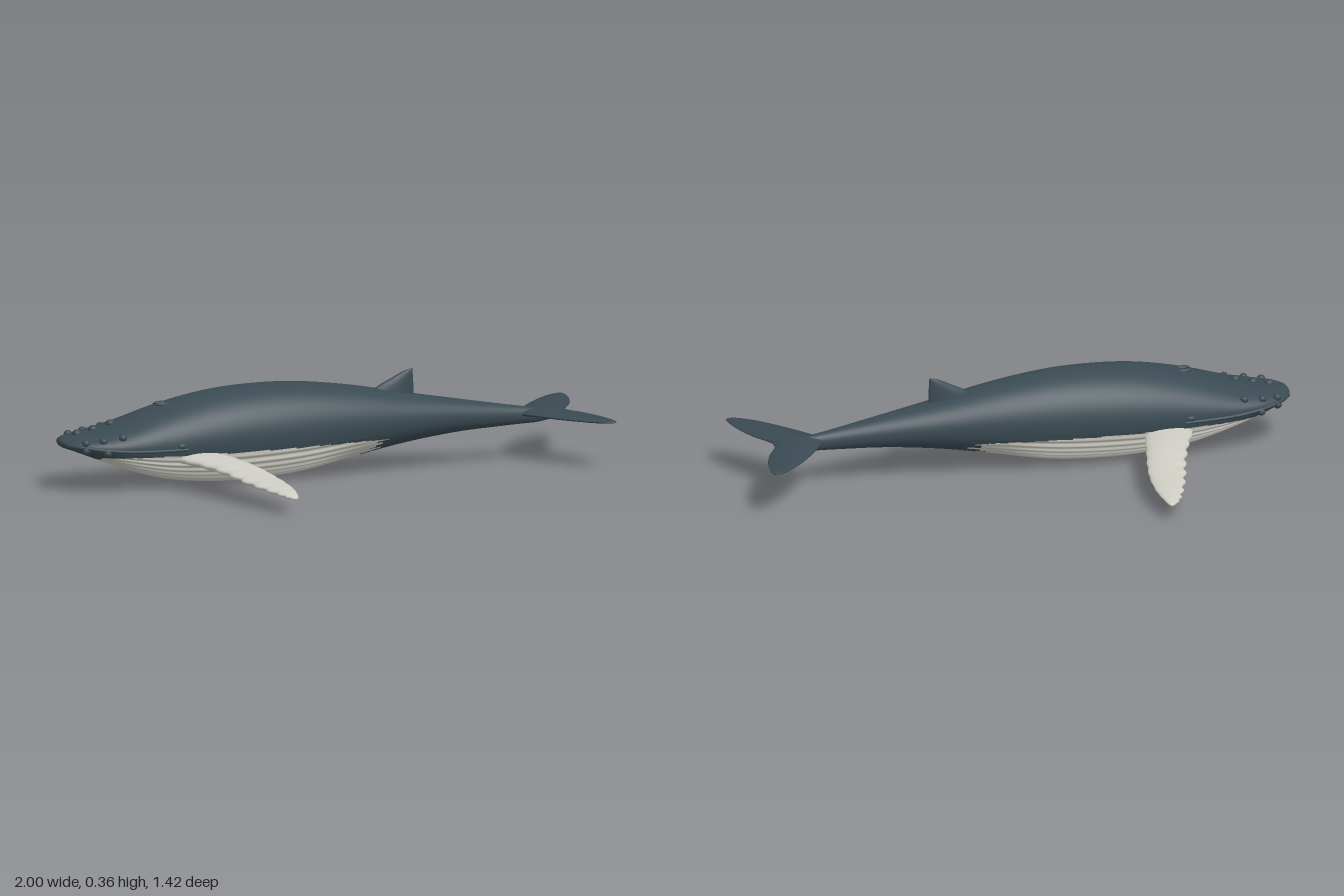
import * as THREE from 'three';

const slate = new THREE.MeshStandardMaterial({ color: 0x3a4a52 });
slate.name = 'slate skin';
const pale = new THREE.MeshStandardMaterial({ color: 0xcdccc3 });
pale.name = 'pale skin';

// Smooth curve through triples of numbers
const spline = (rows) =>
  new THREE.CatmullRomCurve3(rows.map((r) => new THREE.Vector3(...r)), false, 'catmullrom');

// Closed skin through rings point(u, angle); pick(x, y, z) chooses the material of each face
function loft(point, rows, cols, pick = () => 0) {
  const pos = [], faces = [[], []];
  for (let i = 0; i <= rows; i++)
    for (let j = 0; j < cols; j++) pos.push(...point(i / rows, (j / cols) * Math.PI * 2));
  for (let i = 0; i < rows; i++)
    for (let j = 0; j < cols; j++) {
      const k = (j + 1) % cols;
      const a = i * cols + j, b = i * cols + k, c = a + cols, d = b + cols;
      const mid = [0, 1, 2].map((n) => (pos[a * 3 + n] + pos[d * 3 + n]) / 2);
      faces[pick(...mid)].push(a, b, c, b, d, c);
    }
  const geo = new THREE.BufferGeometry();
  geo.setAttribute('position', new THREE.Float32BufferAttribute(pos, 3));
  geo.setIndex(faces[0].concat(faces[1]));
  geo.addGroup(0, faces[0].length, 0);
  geo.addGroup(faces[0].length, faces[1].length, 1);
  geo.computeVertexNormals();
  return geo;
}

// Body stations: x, top, bottom, half width
const stations = [
  [-1, 0.176, 0.174, 0], [-0.99, 0.19, 0.16, 0.05], [-0.95, 0.2, 0.145, 0.098],
  [-0.88, 0.214, 0.117, 0.132], [-0.78, 0.24, 0.078, 0.152], [-0.62, 0.291, 0.03, 0.165],
  [-0.45, 0.328, 0.009, 0.169], [-0.28, 0.343, 0.007, 0.164], [-0.1, 0.34, 0.022, 0.151],
  [0.1, 0.315, 0.06, 0.127], [0.3, 0.277, 0.098, 0.095], [0.5, 0.241, 0.123, 0.061],
  [0.7, 0.206, 0.134, 0.03], [0.82, 0.188, 0.141, 0.018], [0.91, 0.177, 0.17, 0.002],
];
const outline = spline(stations.map((s) => [s[0], s[1], s[2]]));
const girth = spline(stations.map((s) => [s[0], s[3], 0]));
const { smoothstep } = THREE.MathUtils;

function bodyPoint(u, a) {
  const o = outline.getPoint(u), w = Math.max(girth.getPoint(u).y, 0);
  // throat grooves fade out towards the flanks, chin and tail
  const fade = smoothstep(-Math.cos(a), 0.22, 0.45)
    * smoothstep(o.x, -0.95, -0.7) * (1 - smoothstep(o.x, -0.1, 0.2));
  const r = 1 + 0.022 * fade * Math.cos(36 * a);
  return [o.x, (o.y + o.z) / 2 + ((o.y - o.z) / 2) * r * Math.cos(a), w * r * Math.sin(a)];
}

// Pale belly with a streaked rear edge
function bellyPick(x, y, z) {
  const rear = 0.1 + 1.1 * Math.abs(z) + 0.03 * Math.sin(z * 230);
  return y < 0.13 && x > -0.87 && x < Math.min(rear, 0.2 + 0.03 * Math.sin(y * 300)) ? 1 : 0;
}

// Point on the body at a given x
function onBody(x, a) {
  let lo = 0, hi = 1;
  for (let n = 0; n < 30; n++) {
    const m = (lo + hi) / 2;
    if (outline.getPoint(m).x < x) lo = m; else hi = m;
  }
  return new THREE.Vector3(...bodyPoint(lo, a));
}

// Sideways blade: plan rows z, leading x, trailing x; shape rows y, half thickness, -
function blade(plan, shape, side, ripple, rows) {
  const p = spline(plan), q = spline(shape);
  return loft((u, a) => {
    const e = p.getPoint(u), t = q.getPoint(u);
    const wave = ripple * Math.sin(u * 75) * Math.sin(Math.PI * u);
    const lead = e.y + wave, trail = e.z + wave * 0.4 * (1 - u);
    const half = Math.max((trail - lead) / 2, 0);
    return [(lead + trail) / 2 - side * half * Math.sin(a), t.x + t.y * Math.cos(a), side * e.x];
  }, rows, 28);
}

export function createModel() {
  const whale = new THREE.Group();
  whale.name = 'whale';
  const add = (name, geo, mat) => {
    const mesh = new THREE.Mesh(geo, mat);
    mesh.name = name;
    whale.add(mesh);
    return mesh;
  };
  const knob = (name, p, sx, sy, sz) => {
    const m = add(name, new THREE.SphereGeometry(1, 14, 10), slate);
    m.position.copy(p);
    m.scale.set(sx, sy, sz);
  };

  add('body', loft(bodyPoint, 120, 216, bellyPick), [slate, pale]);

  // Dorsal fin: rows y, front x, rear x
  const fin = spline([[0.24, 0.13, 0.335], [0.295, 0.185, 0.335], [0.33, 0.25, 0.333],
    [0.352, 0.295, 0.332], [0.362, 0.329, 0.331]]);
  add('dorsalFin', loft((u, a) => {
    const f = fin.getPoint(u);
    return [(f.y + f.z) / 2 - ((f.z - f.y) / 2) * Math.cos(a), f.x,
      (0.022 * (1 - u) + 0.002) * Math.sin(a)];
  }, 20, 24), slate);

  for (const side of [1, -1]) {
    const tag = side > 0 ? 'left' : 'right';

    // Long flipper with a knobbly leading edge
    add(tag + 'Flipper', blade(
      [[0.1, -0.625, -0.44], [0.18, -0.59, -0.415], [0.29, -0.54, -0.385], [0.4, -0.497, -0.355],
        [0.5, -0.465, -0.335], [0.6, -0.428, -0.328], [0.67, -0.395, -0.335],
        [0.7, -0.373, -0.342], [0.71, -0.352, -0.35]],
      [[0.116, 0.024, 0], [0.11, 0.021, 0], [0.086, 0.016, 0], [0.068, 0.01, 0], [0.058, 0.003, 0]],
      side, 0.006, 110), pale);

    // Tail fluke
    add(tag + 'Fluke', blade(
      [[0, 0.7, 0.908], [0.03, 0.735, 0.915], [0.1, 0.782, 0.955], [0.17, 0.835, 0.982],
        [0.23, 0.888, 0.996], [0.27, 0.935, 1], [0.287, 0.963, 0.999], [0.293, 0.985, 0.99]],
      [[0.174, 0.018, 0], [0.175, 0.011, 0], [0.176, 0.007, 0], [0.176, 0.002, 0]],
      side, 0, 40), slate);

    // Lip line
    const lip = new THREE.CatmullRomCurve3([-0.985, -0.95, -0.88, -0.78, -0.68, -0.57]
      .map((x, i) => onBody(x, side * (1.62 + 0.005 * i))));
    add(tag + 'Lip', new THREE.TubeGeometry(lip, 40, 0.006, 8), slate);

    knob(tag + 'Eye', onBody(-0.59, side * 1.54), 0.017, 0.01, 0.007);
    knob(tag + 'Blowhole', onBody(-0.61, side * 0.1), 0.03, 0.007, 0.009);

    // Bumps along the jaw and brow
    for (const [x, a] of [[-0.93, 1.1], [-0.87, 1.02], [-0.8, 0.98], [-0.93, 1.9], [-0.86, 1.8]])
      knob(tag + 'HeadBump', onBody(x, side * a), 0.015, 0.014, 0.014);
  }

  // Bumps along the middle of the snout
  for (const x of [-0.93, -0.87, -0.805]) knob('snoutBump', onBody(x, 0), 0.018, 0.015, 0.016);

  return whale;
}
